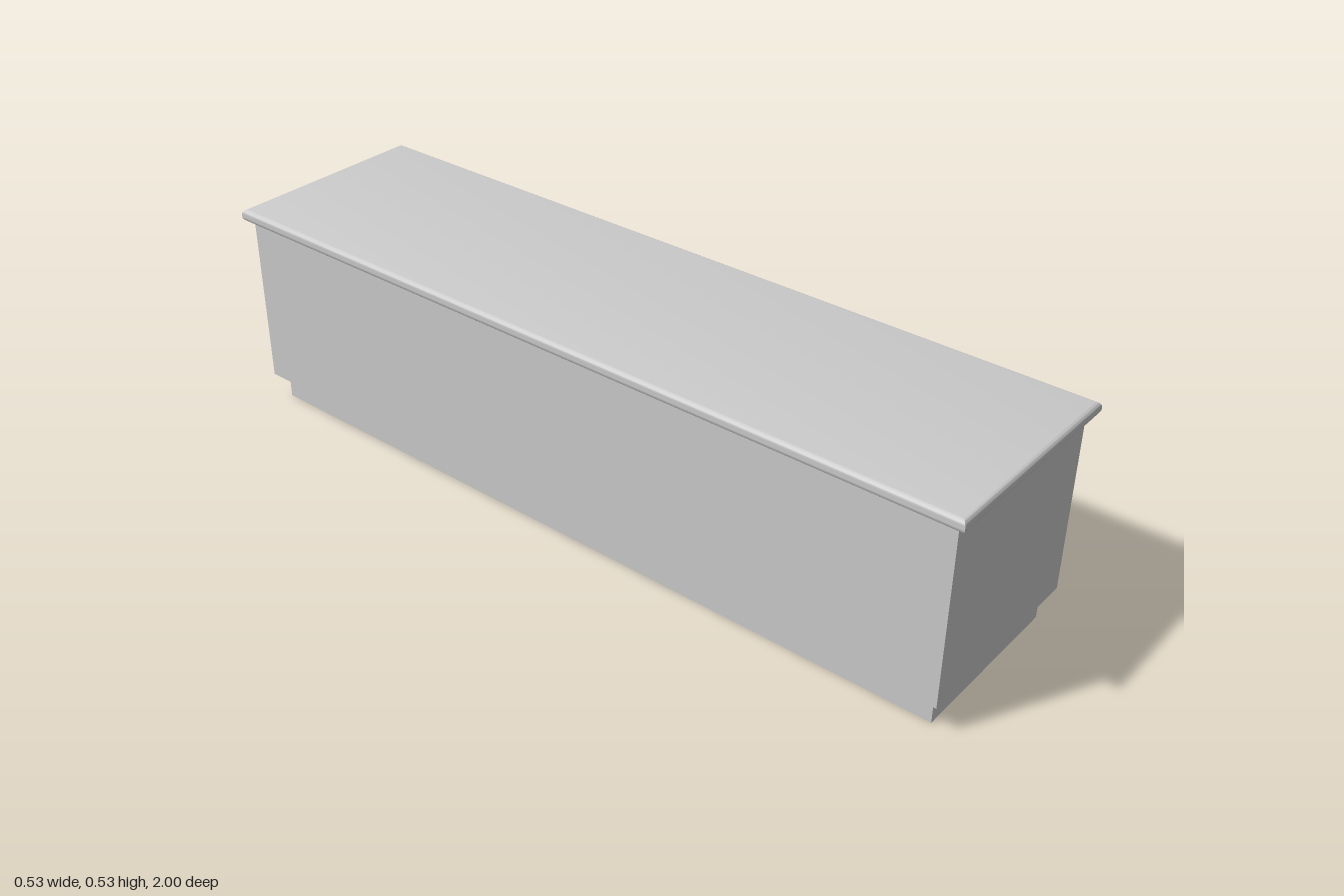
import * as THREE from 'three';
import { toCreasedNormals } from 'three/addons/utils/BufferGeometryUtils.js';

const material = new THREE.MeshStandardMaterial({ color: 0xcccccc });

export function createModel() {
  const group = new THREE.Group();

  const add = (name, geometry, x = 0, y = 0, z = 0) => {
    const mesh = new THREE.Mesh(geometry, material);
    mesh.name = name;
    mesh.position.set(x, y, z);
    group.add(mesh);
    return mesh;
  };

  // Box given by its limits on each axis
  const addBox = (name, [x0, x1], [y0, y1], [z0, z1]) =>
    add(name, new THREE.BoxGeometry(x1 - x0, y1 - y0, z1 - z0),
      (x0 + x1) / 2, (y0 + y1) / 2, (z0 + z1) / 2);

  // Plinth and cabinet body
  addBox('plinth', [-0.217, 0.209], [0, 0.07], [-0.957, 0.957]);
  addBox('cabinetBody', [-0.247, 0.241], [0.07, 0.503], [-0.979, 0.979]);

  // Worktop with rounded edges and mitred corners
  const r = 0.014, thickness = 0.032;
  const w = 0.2645 - r, l = 1 - r;
  const outline = new THREE.Shape([
    new THREE.Vector2(-w, -l), new THREE.Vector2(w, -l),
    new THREE.Vector2(w, l), new THREE.Vector2(-w, l),
  ]);
  const top = new THREE.ExtrudeGeometry(outline, {
    depth: thickness - 2 * r, bevelSize: r, bevelThickness: r, bevelSegments: 8,
  });
  top.rotateX(-Math.PI / 2);
  add('worktop', toCreasedNormals(top, 0.6), -0.0025, 0.502 + r, 0);

  // Bowed handle, upright, with a flattened oval section
  const path = new THREE.CatmullRomCurve3([
    [0.241, -0.052], [0.252, -0.051], [0.2595, -0.041], [0.2625, -0.02],
    [0.2625, 0.02], [0.2595, 0.041], [0.252, 0.051], [0.241, 0.052],
  ].map(([x, y]) => new THREE.Vector3(x, y, 0)));
  const handle = new THREE.TubeGeometry(path, 40, 0.0036, 12);
  handle.scale(1, 1, 1.9);

  // Doors, each with an upright handle beside its pair's meeting line
  const front = [0.244, 0.251];
  const doors = [
    { z: [0.55, 0.973], handleZ: 0.577 },
    { z: [0.12, 0.543], handleZ: 0.518 },
    { z: [-0.538, -0.115], handleZ: -0.511 },
    { z: [-0.97, -0.547], handleZ: -0.57 },
  ];
  for (const { z, handleZ } of doors) {
    addBox('door', front, [0.075, 0.499], z);
    add('doorHandle', handle, 0, 0.43, handleZ);
  }

  // Stack of four drawers with level handles
  for (let i = 0; i < 4; i++) {
    const y = 0.086 + i * 0.1055;
    addBox('drawerFront', front, [y, y + 0.096], [-0.1, 0.109]);
    add('drawerHandle', handle, 0, y + 0.077, 0.007).rotation.x = Math.PI / 2;
  }

  return group;
}
